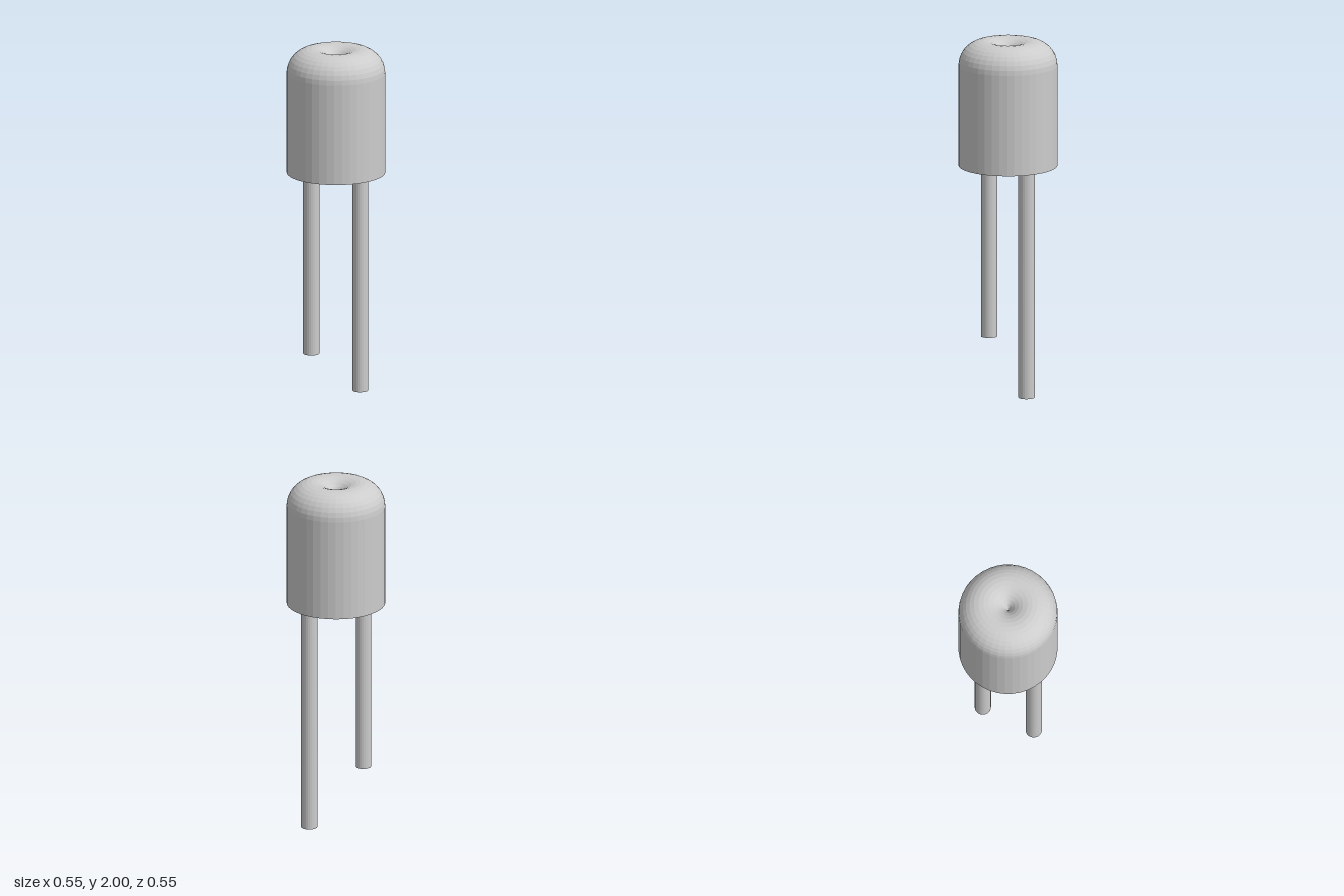
import * as THREE from 'three';

export function createModel() {
  const group = new THREE.Group();
  const grey = new THREE.MeshStandardMaterial({ color: 0xcccccc, flatShading: true });
  grey.name = 'light grey';

  const radius = 0.275, base = 1.29, tube = radius / 2, shoulder = 2 - tube;

  // Capsule body: flat base, straight wall, rounded rim rolling into a central dimple
  const profile = [new THREE.Vector2(0, base), new THREE.Vector2(radius, base)];
  const steps = 16;
  for (let i = 0; i <= steps; i++) {
    const a = (i / steps) * Math.PI;
    profile.push(new THREE.Vector2(Math.max(0, tube + tube * Math.cos(a)), shoulder + tube * Math.sin(a)));
  }
  const body = new THREE.Mesh(new THREE.LatheGeometry(profile, 40), grey);
  body.name = 'body';
  group.add(body);

  // Two wire leads of unequal length
  const addLead = (name, x, bottom) => {
    const height = base - bottom;
    const lead = new THREE.Mesh(new THREE.CylinderGeometry(0.045, 0.045, height, 24), grey);
    lead.position.set(x, bottom + height / 2, 0);
    lead.name = name;
    group.add(lead);
  };
  addLead('shortLead', -0.187, 0.28);
  addLead('longLead', 0.183, 0);

  return group;
}
